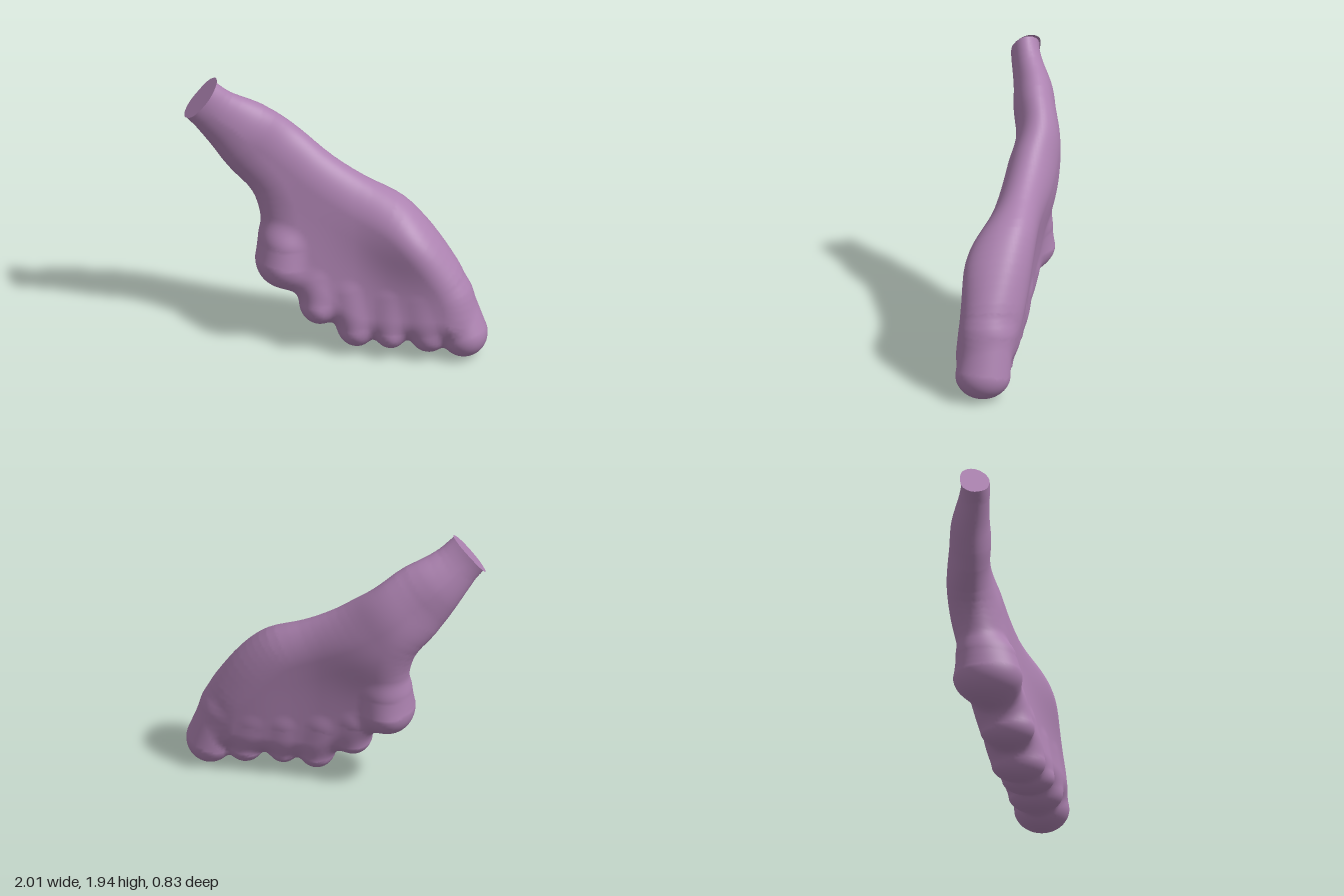
import * as THREE from 'three';

const { smoothstep, lerp, clamp } = THREE.MathUtils;

// Front outline of ankle and sole, without the toe tips; the ankle runs past its cut
const outline = new THREE.CatmullRomCurve3([
  [-1.156, 1.805], [-0.956, 2.055], [-0.8, 1.925], [-0.69, 1.83], [-0.45, 1.7], [-0.2, 1.5], [0, 1.34],
  [0.2, 1.22], [0.45, 1.1], [0.6, 0.96], [0.75, 0.76], [0.85, 0.58], [0.88, 0.4], [0.81, 0.18],
  [0.55, 0.14], [0.3, 0.13], [0.1, 0.14], [-0.08, 0.24], [-0.25, 0.37], [-0.4, 0.46], [-0.49, 0.6],
  [-0.505, 0.73], [-0.497, 0.85], [-0.505, 0.94], [-0.55, 1.07], [-0.7, 1.25], [-1, 1.68],
].map(([x, y]) => new THREE.Vector3(x, y, 0)), true).getPoints(90);

// Toes: base x, y, then tip x, y, z, then radius across and radius in depth
const toes = [
  [0.765, 0.42, 0.835, 0.168, 0.217, 0.163, 0.187],
  [0.55, 0.42, 0.6, 0.172, 0.175, 0.137, 0.187],
  [0.34, 0.42, 0.345, 0.168, 0.125, 0.116, 0.18],
  [0.08, 0.44, 0.122, 0.176, 0.06, 0.132, 0.185],
  [-0.14, 0.5, -0.12, 0.322, -0.015, 0.136, 0.188],
  [-0.34, 0.73, -0.35, 0.6, -0.145, 0.19, 0.235],
];

// Plane of the ankle cut
const cut = { n: new THREE.Vector3(-0.775, 0.62, 0.12), d: 1.79 };

const smoothMin = (a, b, k) => {
  const h = Math.max(k - Math.abs(a - b), 0) / k;
  return Math.min(a, b) - h * h * k * 0.25;
};

// Signed distance to the outline, negative inside
function outlineDistance(x, y) {
  let best = Infinity, inside = false;
  for (let i = 0; i < outline.length - 1; i++) {
    const a = outline[i], b = outline[i + 1];
    const ex = b.x - a.x, ey = b.y - a.y, px = x - a.x, py = y - a.y;
    const t = clamp((px * ex + py * ey) / (ex * ex + ey * ey || 1), 0, 1);
    best = Math.min(best, (px - t * ex) ** 2 + (py - t * ey) ** 2);
    if ((a.y > y) !== (b.y > y) && x < a.x + (ex * py) / ey) inside = !inside;
  }
  return Math.sqrt(best) * (inside ? -1 : 1);
}

// Depth of the middle of the slanted sole, levelling out along the ankle
const along = (x, y) => -0.781 * x + 0.625 * y;
const middle = (x, y) => lerp(
  0.05 + 0.25 * (x - 0.13) - 0.16 * (y - 0.2),
  -0.26 + 0.035 * smoothstep(along(x, y), 1.5, 1.82),
  smoothstep(along(x, y), 0.95, 1.4),
);

function toeDistance([bx, by, tx, ty, tz, r, depth], x, y, z) {
  const bz = middle(bx, by);
  const ex = tx - bx, ey = ty - by, ez = tz - bz;
  const t = clamp(((x - bx) * ex + (y - by) * ey + (z - bz) * ez) / (ex * ex + ey * ey + ez * ez), 0, 1);
  const dz = ((z - bz - t * ez) * r) / depth;
  return Math.hypot(x - bx - t * ex, y - by - t * ey, dz) - r * lerp(0.87, 1, t);
}

// Soft round swelling on the front or back of the foot
const swelling = (x, y, rx, ry) => Math.exp(-x * x / (rx * rx) - y * y / (ry * ry));

// Ankle and sole: a pillow with an elliptical rim, with a swollen instep and heel
function pillow(x, y, z) {
  const s = along(x, y), dz = z - middle(x, y);
  const ankle = smoothstep(s, 1.4, 1.85);
  const nearToes = 1 - smoothstep(y + 0.5 * Math.min(x, 0.3), 0.3, 0.9);
  const bigToeSide = smoothstep(x, 0.1, 0.7);
  const front = smoothstep(dz, -0.1, 0.1);
  const instep = 0.08 * swelling(x - 0.5, y - 0.9, 0.35, 0.27) + 0.02 * bigToeSide * (1 - nearToes);
  const heel = 0.04 * swelling(x + 0.27, y - 1.03, 0.3, 0.25);
  const thick = 0.16 - 0.02 * smoothstep(s, 0.95, 1.3) - 0.045 * ankle
    + 0.045 * bigToeSide + 0.02 * nearToes * (1 - bigToeSide) + lerp(heel, instep, front);
  const rim = lerp(lerp(0.24, 0.17, nearToes), 0.155, ankle);
  return (Math.hypot(Math.max(outlineDistance(x, y) / rim + 1, 0), dz / thick) - 1) * thick;
}

// Whole foot: the pillow smoothly joined to the toes
function foot(x, y, z) {
  const toe = toes.map((t) => toeDistance(t, x, y, z)).reduce((a, b) => smoothMin(a, b, 0.045));
  return smoothMin(pillow(x, y, z), toe, 0.06);
}

function gradient(p) {
  const e = 0.004;
  return new THREE.Vector3(
    foot(p.x + e, p.y, p.z) - foot(p.x - e, p.y, p.z),
    foot(p.x, p.y + e, p.z) - foot(p.x, p.y - e, p.z),
    foot(p.x, p.y, p.z + e) - foot(p.x, p.y, p.z - e),
  ).divideScalar(2 * e);
}

// Skin over a distance function: one vertex per crossed cell, one quad per crossed edge
function skin() {
  const s = 0.022, min = [-1.24, -0.1, -0.6], n = [106, 104, 52];
  const step = [1, n[0], n[0] * n[1]];
  const field = new Float32Array(n[0] * n[1] * n[2]);
  const at = (i, j, k) => i + j * step[1] + k * step[2];
  const eachCell = (from, visit) => {
    for (let k = from; k < n[2] - 1; k++)
      for (let j = from; j < n[1] - 1; j++)
        for (let i = from; i < n[0] - 1; i++) visit(i, j, k, at(i, j, k));
  };
  for (let k = 0; k < n[2]; k++)
    for (let j = 0; j < n[1]; j++)
      for (let i = 0; i < n[0]; i++)
        field[at(i, j, k)] = foot(min[0] + i * s, min[1] + j * s, min[2] + k * s);

  const verts = new Map();
  eachCell(0, (i, j, k, c) => {
    const sum = new THREE.Vector3();
    let count = 0;
    for (let corner = 0; corner < 8; corner++) {
      const o = [corner & 1, (corner >> 1) & 1, corner >> 2];
      const a = c + o[0] + o[1] * step[1] + o[2] * step[2];
      for (let axis = 0; axis < 3; axis++) {
        if (o[axis]) continue;
        const fa = field[a], fb = field[a + step[axis]];
        if ((fa < 0) === (fb < 0)) continue;
        const q = [...o];
        q[axis] = fa / (fa - fb);
        sum.add(new THREE.Vector3(...q));
        count++;
      }
    }
    if (!count) return;
    const p = sum.divideScalar(count).add(new THREE.Vector3(i, j, k)).multiplyScalar(s)
      .add(new THREE.Vector3(...min));
    const g = gradient(p);
    p.addScaledVector(g, -foot(p.x, p.y, p.z) / Math.max(g.lengthSq(), 0.3));
    const normal = gradient(p).normalize();
    // Flatten everything beyond the ankle cut onto its plane
    const over = p.dot(cut.n) - cut.d;
    if (over > 0) p.addScaledVector(cut.n, -over);
    verts.set(c, { p, normal, flat: over > 0 });
  });

  const positions = [], normals = [];
  const triangle = (...tri) => {
    const flat = tri.every((v) => v.flat);
    for (const v of tri) {
      positions.push(...v.p.toArray());
      normals.push(...(flat ? cut.n : v.normal).toArray());
    }
  };
  eachCell(1, (i, j, k, c) => {
    for (let axis = 0; axis < 3; axis++) {
      const inside = field[c] < 0;
      if (inside === field[c + step[axis]] < 0) continue;
      const b = step[(axis + 1) % 3], d = step[(axis + 2) % 3];
      const q = [c - b - d, c - d, c, c - b].map((id) => verts.get(id));
      if (!inside) q.reverse();
      triangle(q[0], q[1], q[2]);
      triangle(q[0], q[2], q[3]);
    }
  });
  const geometry = new THREE.BufferGeometry();
  geometry.setAttribute('position', new THREE.Float32BufferAttribute(positions, 3));
  geometry.setAttribute('normal', new THREE.Float32BufferAttribute(normals, 3));
  return geometry;
}

export function createModel() {
  const mauve = new THREE.MeshStandardMaterial({ color: 0xac82b0 });
  mauve.name = 'mauve skin';
  const mesh = new THREE.Mesh(skin(), mauve);
  mesh.name = 'foot';
  const model = new THREE.Group();
  model.name = 'footWithToes';
  model.add(mesh);
  return model;
}
